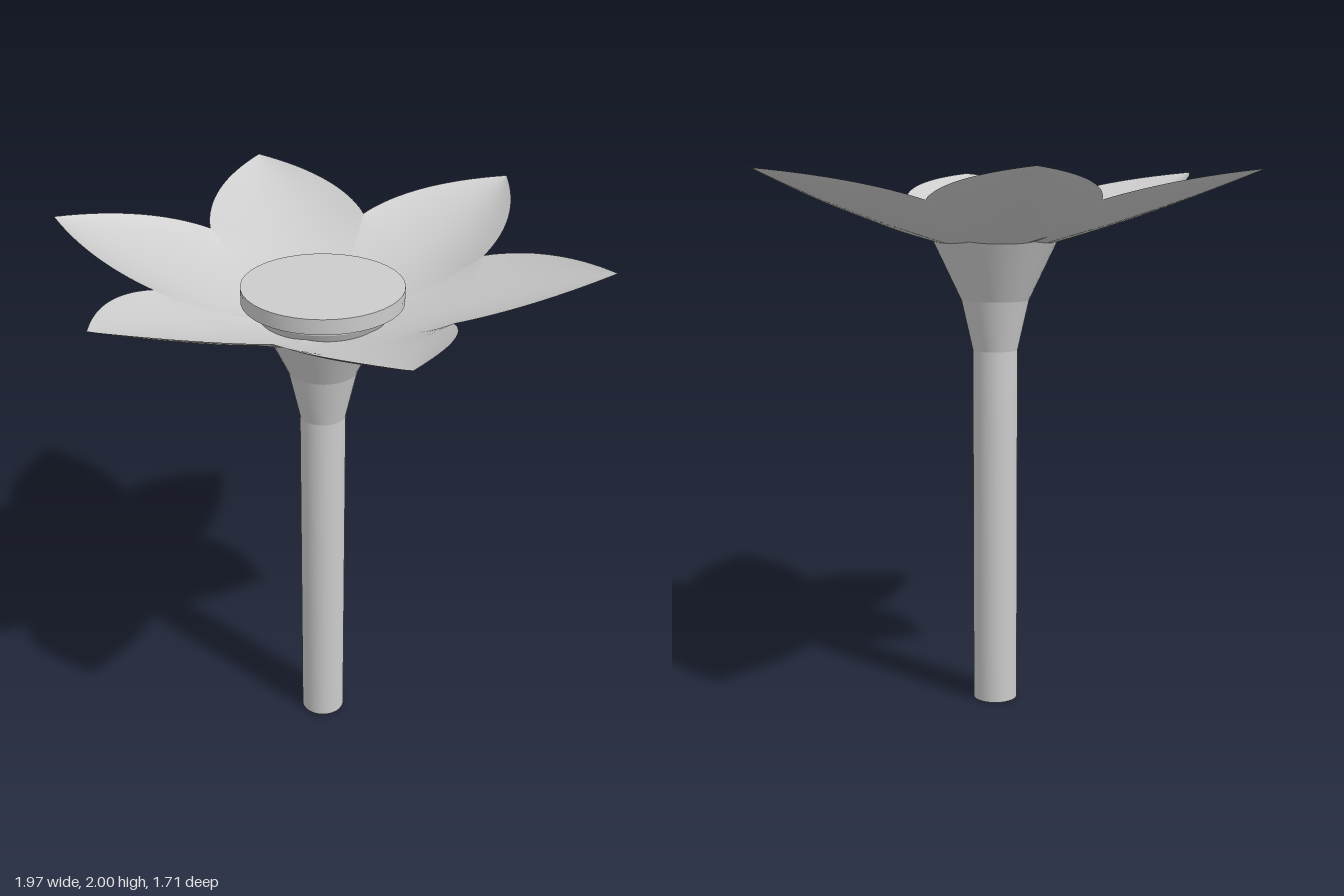
import * as THREE from 'three';
import { toCreasedNormals } from 'three/addons/utils/BufferGeometryUtils.js';

const material = new THREE.MeshStandardMaterial({ color: 0xcccccc });
const petalMaterial = new THREE.MeshStandardMaterial({ color: 0xcccccc, side: THREE.DoubleSide });

const PETALS = 6;
const INNER = 0.1, NOTCH = 0.507, TIP = 0.985; // radii along a petal
const MAX_HALF_WIDTH = 0.2925;

// Solid of revolution with crisp rims
function turned(name, profile) {
  const points = profile.map(([r, y]) => new THREE.Vector2(r, y));
  const geometry = toCreasedNormals(new THREE.LatheGeometry(points, 40), 0.2);
  const mesh = new THREE.Mesh(geometry, material);
  mesh.name = name;
  return mesh;
}

// Half width: a wedge between neighbours, then a rounded taper to the tip
function halfWidth(u) {
  const t = Math.max(0, (u - 0.45) / (TIP - 0.45));
  return Math.min(u * Math.tan(Math.PI / PETALS), 0.297 * (1 - t * t));
}

// Height of the middle line of a petal
function spine(u) {
  const d = u - 0.2;
  return 1.735 + 0.2755 * d + 0.079 * d * d;
}

// How far the long edges curl up above the middle line
function edgeLift(u) {
  if (u > NOTCH) return 0.07 * halfWidth(u) / MAX_HALF_WIDTH;
  return 0.015 + 0.055 * Math.pow(Math.max(0, (u - 0.2) / (NOTCH - 0.2)), 2.5);
}

// Cupped petal pointing along +x, shaped from a flat grid
function petalGeometry() {
  const geometry = new THREE.PlaneGeometry(1, 2, 32, 14);
  const position = geometry.attributes.position;
  for (let i = 0; i < position.count; i++) {
    const s = position.getX(i) + 0.5;
    const v = position.getY(i);
    const u = s < 0.5
      ? THREE.MathUtils.lerp(INNER, NOTCH, s * 2)
      : THREE.MathUtils.lerp(NOTCH, TIP, s * 2 - 1);
    position.setXYZ(i, u, spine(u) + edgeLift(u) * v * v, -v * halfWidth(u));
  }
  geometry.computeVertexNormals();
  return geometry;
}

export function createModel() {
  const flower = new THREE.Group();
  flower.name = 'flower';

  // Straight stem
  flower.add(turned('stem', [[0, 0], [0.083, 0], [0.083, 1.345]]));

  // Flared cup carrying the petals and the centre
  flower.add(turned('cup', [
    [0.083, 1.345], [0.125, 1.53], [0.24, 1.77], [0.24, 1.797],
  ]));

  // Flat round centre
  flower.add(turned('centreDisc', [[0, 1.795], [0.285, 1.795], [0.285, 1.85], [0, 1.85]]));

  // Ring of petals
  const petals = new THREE.Group();
  petals.name = 'petals';
  const geometry = petalGeometry();
  for (let i = 0; i < PETALS; i++) {
    const petal = new THREE.Mesh(geometry, petalMaterial);
    petal.name = `petal${i + 1}`;
    petal.rotation.y = (i * 2 * Math.PI) / PETALS;
    petals.add(petal);
  }
  flower.add(petals);

  return flower;
}
